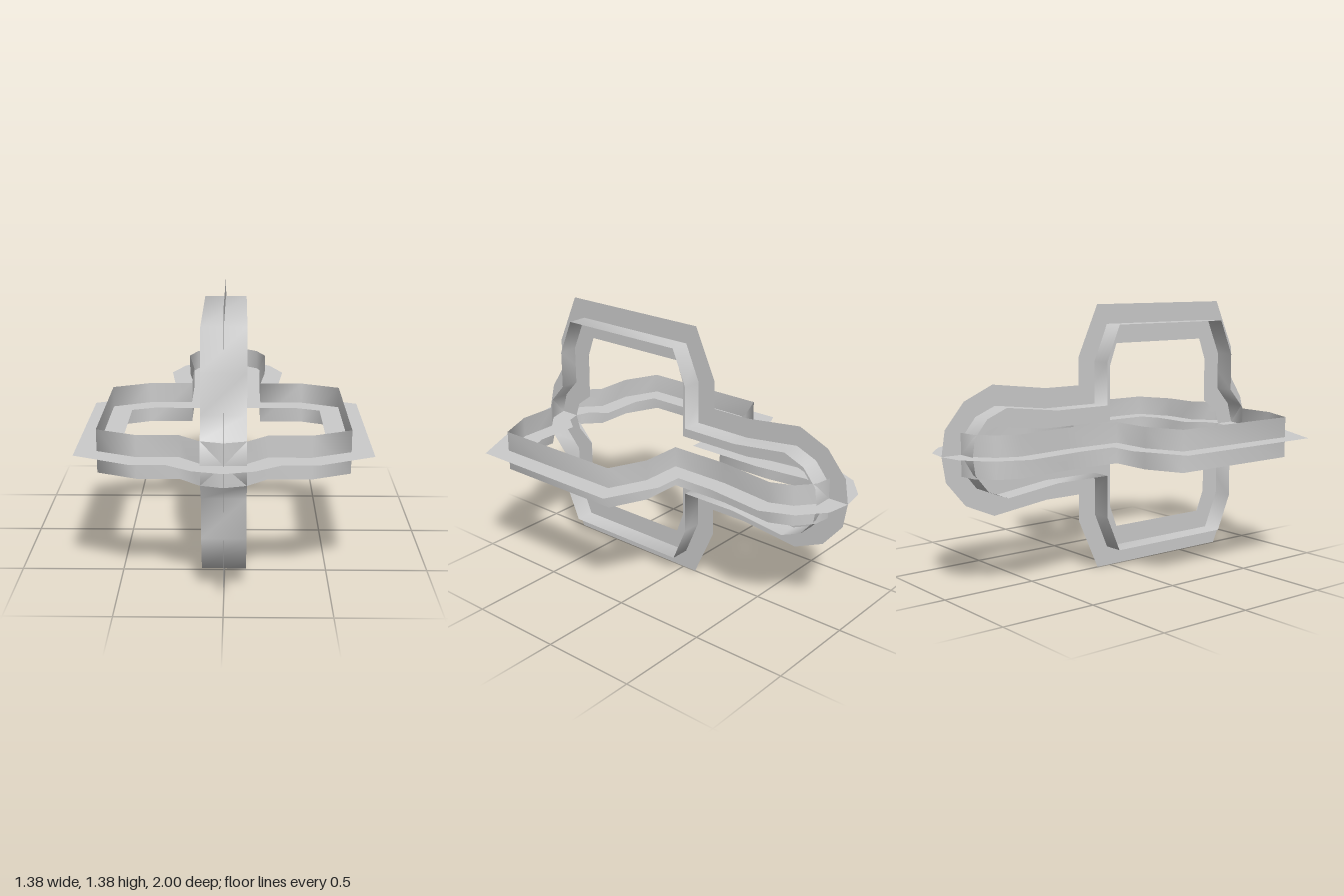
import * as THREE from 'three';

// Half outline of one loop, front tip to back tip: [outer x, outer z, inner x, inner z]
const HALF = [
  [0, 1.0, 0, 0.79],
  [0.14, 0.965, 0.075, 0.765],
  [0.26, 0.885, 0.14, 0.677],
  [0.425, 0.885, 0.372, 0.677],
  [0.6875, 0.765, 0.485, 0.635],
  [0.6875, -0.08, 0.485, 0.047],
  [0.425, -0.2, 0.372, 0.005],
  [0.282, -0.2, 0.08, 0.005],
  [0.282, -0.405, 0.08, -0.41],
  [0.32, -0.715, 0.115, -0.69],
  [0.25, -0.875, 0.095, -0.75],
  [0.125, -0.98, 0.05, -0.785],
  [0, -1.0, 0, -0.79],
];
const WALL = 0.105; // half height of the upright band

// Mirror the half outline into a closed ring
const RING = [
  ...HALF,
  ...HALF.slice(1, -1).reverse().map(([ox, oz, ix, iz]) => [-ox, oz, -ix, iz]),
];

const material = new THREE.MeshStandardMaterial({ color: 0xcccccc, side: THREE.DoubleSide });

// Closed ribbon through pairs of edge points
function ribbon(name, pairs) {
  const n = pairs.length;
  const index = [];
  for (let i = 0; i < n; i++) {
    const a = 2 * i, b = 2 * ((i + 1) % n);
    index.push(a, b, a + 1, b, b + 1, a + 1);
  }
  const geometry = new THREE.BufferGeometry();
  geometry.setAttribute('position', new THREE.Float32BufferAttribute(pairs.flat(2), 3));
  geometry.setIndex(index);
  geometry.computeVertexNormals();
  const mesh = new THREE.Mesh(geometry, material);
  mesh.name = name;
  return mesh;
}

// A loop with a cross-shaped section: a flat band plus an upright band on its centreline
function crossLoop(name) {
  const loop = new THREE.Group();
  loop.name = name;
  const flat = RING.map(([ox, oz, ix, iz]) => [[ox, 0, oz], [ix, 0, iz]]);
  const upright = RING.map(([ox, oz, ix, iz]) => {
    const x = (ox + ix) / 2, z = (oz + iz) / 2;
    return [[x, -WALL, z], [x, WALL, z]];
  });
  loop.add(ribbon('flatBand', flat), ribbon('uprightBand', upright));
  return loop;
}

export function createModel() {
  const model = new THREE.Group();
  model.name = 'interlockedLoops';
  const horizontal = crossLoop('horizontalLoop');
  const vertical = crossLoop('verticalLoop');
  vertical.rotation.z = Math.PI / 2;
  for (const loop of [horizontal, vertical]) {
    loop.position.y = 0.6875;
    model.add(loop);
  }
  return model;
}
